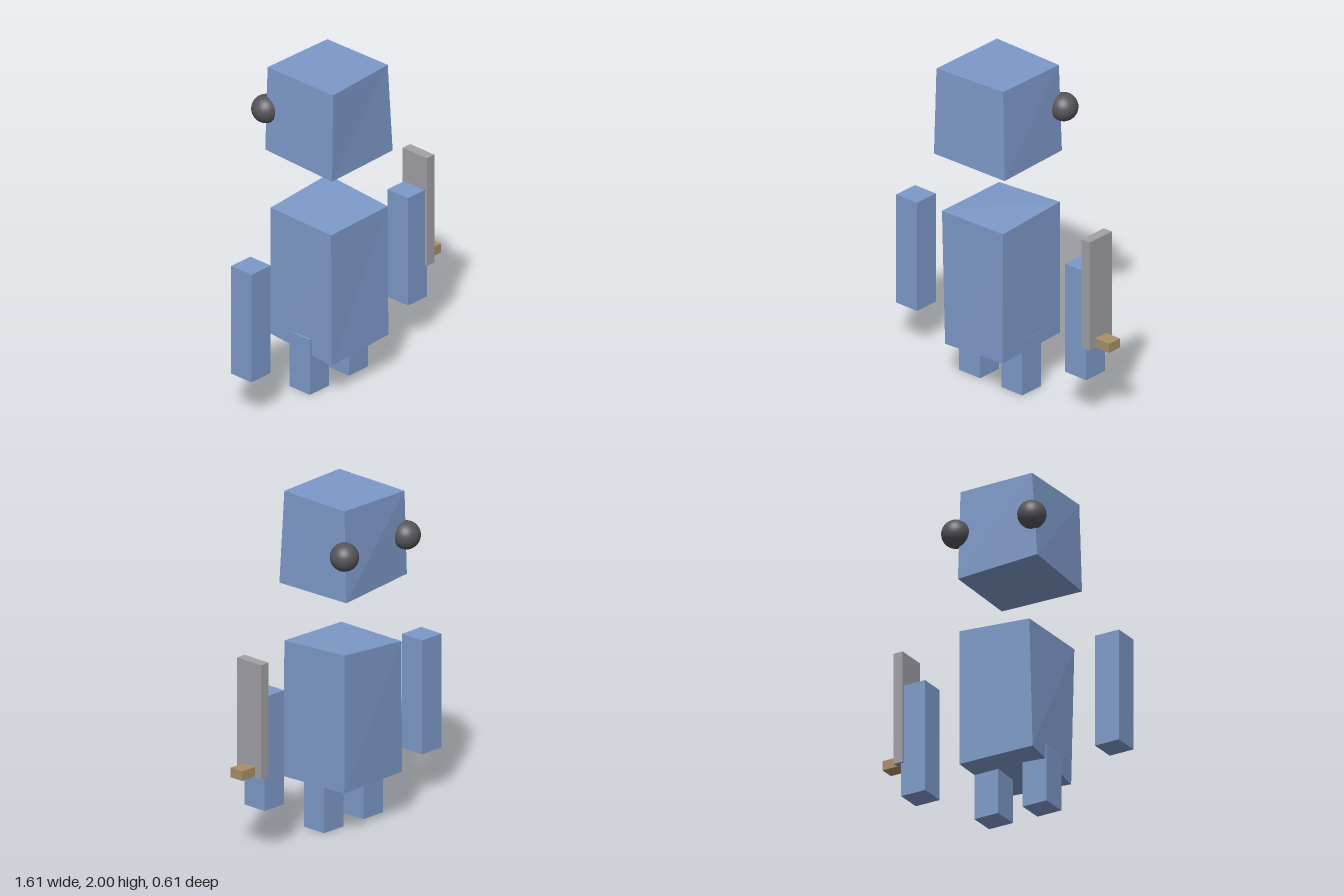
import * as THREE from 'three';

const mat = (name, color) => {
  const m = new THREE.MeshStandardMaterial({ color });
  m.name = name;
  return m;
};

export function createModel() {
  const blue = mat('blue', 0x7d99c9);
  const charcoal = mat('charcoal', 0x55555a);
  const steel = mat('steel', 0xa0a0a5);
  const wood = mat('wood', 0xa98e6a);

  const model = new THREE.Group();
  model.name = 'blockFigure';

  const add = (name, geometry, material) => {
    const mesh = new THREE.Mesh(geometry, material);
    mesh.name = name;
    model.add(mesh);
    return mesh;
  };

  // Plain box given by its [min, max] range on each axis
  const block = (name, [x0, x1], [y0, y1], [z0, z1], material) => {
    const mesh = add(name, new THREE.BoxGeometry(x1 - x0, y1 - y0, z1 - z0), material);
    mesh.position.set((x0 + x1) / 2, (y0 + y1) / 2, (z0 + z1) / 2);
  };

  // Box with each corner moved; order: x changes fastest, then y, then z (low to high)
  const skewedBlock = (name, corners, material) => {
    const box = new THREE.BoxGeometry(1, 1, 1);
    const p = box.attributes.position;
    for (let i = 0; i < p.count; i++) {
      const k = (p.getX(i) > 0 ? 1 : 0) + (p.getY(i) > 0 ? 2 : 0) + (p.getZ(i) > 0 ? 4 : 0);
      p.setXYZ(i, ...corners[k]);
    }
    const geometry = box.toNonIndexed();
    geometry.computeVertexNormals();
    add(name, geometry, material);
  };

  // Head and torso, slightly crooked blocks
  skewedBlock('head', [
    [-0.355, 1.48, -0.205], [0.165, 1.443, -0.225],
    [-0.325, 1.995, -0.215], [0.16, 1.995, -0.205],
    [-0.34, 1.45, 0.305], [0.185, 1.445, 0.285],
    [-0.325, 1.998, 0.3], [0.16, 2, 0.27],
  ], blue);
  skewedBlock('torso', [
    [-0.32, 0.285, -0.2], [0.165, 0.283, -0.21],
    [-0.305, 1.085, -0.21], [0.165, 1.12, -0.208],
    [-0.295, 0.23, 0.26], [0.16, 0.265, 0.275],
    [-0.31, 1.08, 0.27], [0.16, 1.09, 0.27],
  ], blue);

  // Round balls on the rear corners of the head
  for (const [name, x] of [['rightBall', -0.33], ['leftBall', 0.18]]) {
    add(name, new THREE.SphereGeometry(0.084, 32, 20), charcoal).position.set(x, 1.728, -0.224);
  }

  // Limbs
  const depth = [-0.048, 0.112];
  block('rightArm', [-0.805, -0.645], [0.265, 0.957], depth, blue);
  block('leftArm', [0.495, 0.655], [0.265, 0.957], depth, blue);
  block('rightLeg', [-0.32, -0.16], [0, 0.353], depth, blue);
  block('leftLeg', [0.004, 0.164], [0, 0.353], depth, blue);

  // Slab and its peg on the left arm
  block('slab', [0.636, 0.698], [0.473, 1.166], [-0.062, 0.128], steel);
  block('peg', [0.69, 0.803], [0.478, 0.536], [-0.012, 0.08], wood);

  return model;
}
